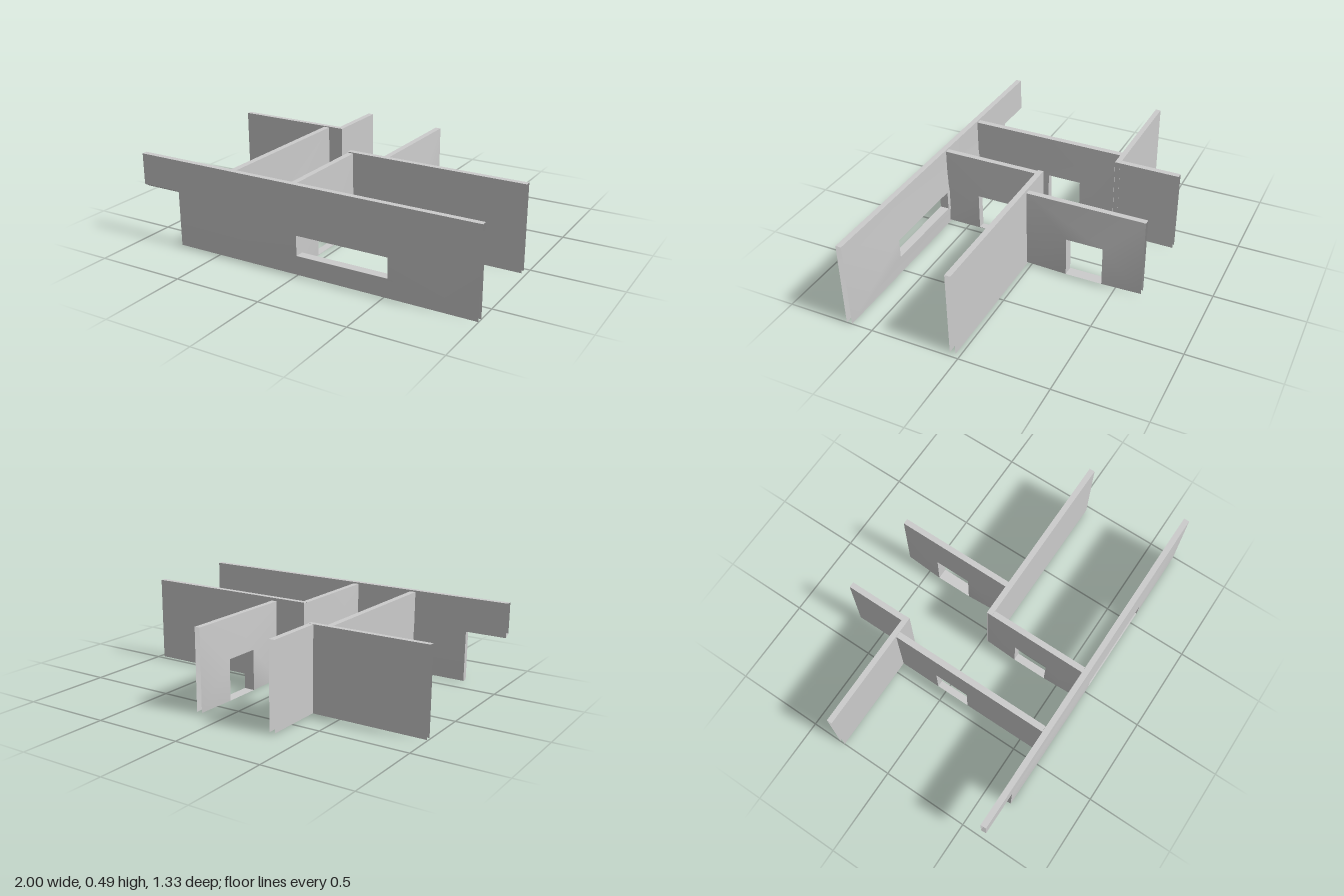
import * as THREE from 'three';

const material = new THREE.MeshStandardMaterial({ color: 0xcccccc, side: THREE.DoubleSide });

// Counter-clockwise rectangle: a..b along the wall, y0..y1 in height
const rect = (a, b, y0, y1) => [[a, y0], [b, y0], [b, y1], [a, y1]];

// Hollow wall: two skins, joined along the chosen outline edges and around the
// opening. The opening's rim may stand proud of the skins (rimFront, rimBack).
function makeWall({ name, outline, caps = [2], opening = [], half, rimFront = half, rimBack = half, slant = () => 0 }) {
  const toV2 = ([x, y]) => new THREE.Vector2(x, y);
  const points = [...outline, ...opening];
  const n = outline.length;
  const faces = THREE.ShapeUtils.triangulateShape(outline.map(toV2), opening.length ? [opening.map(toV2)] : []);
  const at = (i, side) => {
    const [x, y] = points[i];
    const depth = i < n ? half : side > 0 ? rimFront : rimBack;
    return [x, y + side * slant(x, y), side * depth];
  };
  const positions = [];
  const index = [];

  // Front and back skins
  for (const side of [1, -1]) {
    const base = positions.length / 3;
    points.forEach((p, i) => positions.push(...at(i, side)));
    for (const [a, b, c] of faces) {
      index.push(base + a, base + (side > 0 ? b : c), base + (side > 0 ? c : b));
    }
  }

  // Strips across the thickness
  const strip = (i, j) => {
    const base = positions.length / 3;
    positions.push(...at(i, 1), ...at(i, -1), ...at(j, -1), ...at(j, 1));
    index.push(base, base + 1, base + 2, base, base + 2, base + 3);
  };
  caps.forEach((i) => strip(i, (i + 1) % n));
  opening.forEach((p, i) => strip(n + (i + 1) % opening.length, n + i));

  const geometry = new THREE.BufferGeometry();
  geometry.setAttribute('position', new THREE.Float32BufferAttribute(positions, 3));
  geometry.setIndex(index);
  geometry.computeVertexNormals();
  const mesh = new THREE.Mesh(geometry, material);
  mesh.name = name;
  return mesh;
}

export function createModel() {
  const group = new THREE.Group();
  group.name = 'wallLayout';

  // Walls running along x
  const alongX = (z, options) => {
    const wall = makeWall(options);
    wall.position.z = z;
    group.add(wall);
  };
  // Walls running along z (the outline's first coordinate becomes z)
  const alongZ = (x, options) => {
    const wall = makeWall(options);
    wall.rotation.y = -Math.PI / 2;
    wall.position.x = x;
    group.add(wall);
  };

  // Long front wall with a wide window and a notched lower corner
  alongX(0.637, {
    name: 'frontWall',
    outline: [[-0.762, 0.003], [1, 0.003], [1, 0.49], [-1, 0.49], [-1, 0.305], [-0.762, 0.305]],
    caps: [2, 4, 5],
    opening: rect(0, 0.525, 0.113, 0.224),
    half: 0.016, rimFront: 0.026, rimBack: 0.025,
    slant: (x, y) => (y === 0.305 ? 0.01 : 0),
  });

  // Middle and rear cross walls
  alongX(0.043, { name: 'middleWall', outline: rect(-0.06, 0.975, 0.003, 0.487), half: 0.016 });
  alongX(-0.309, { name: 'rearWall', outline: rect(-1, -0.315, 0.01, 0.487), half: 0.015 });

  // Dividing walls with door openings
  alongZ(-0.421, {
    name: 'longDividingWall', outline: rect(-0.295, 0.62, 0.015, 0.482),
    opening: rect(-0.05, 0.15, 0.02, 0.236), half: 0.017, rimFront: 0.019, rimBack: 0.019,
  });
  alongZ(-0.043, {
    name: 'shortDividingWall', outline: rect(0.03, 0.62, 0.017, 0.482),
    opening: rect(0.22, 0.42, 0.021, 0.236), half: 0.016, rimFront: 0.025, rimBack: 0.018,
  });
  alongZ(0.14, {
    name: 'rearDividingWall', outline: rect(-0.648, 0.028, 0.013, 0.47),
    opening: rect(-0.425, -0.215, 0.018, 0.249), half: 0.016, rimFront: 0.031, rimBack: 0.031,
  });

  // Plain return wall at the back
  alongZ(-0.332, { name: 'returnWall', outline: rect(-0.665, -0.295, 0.01, 0.486), half: 0.016 });

  return group;
}
